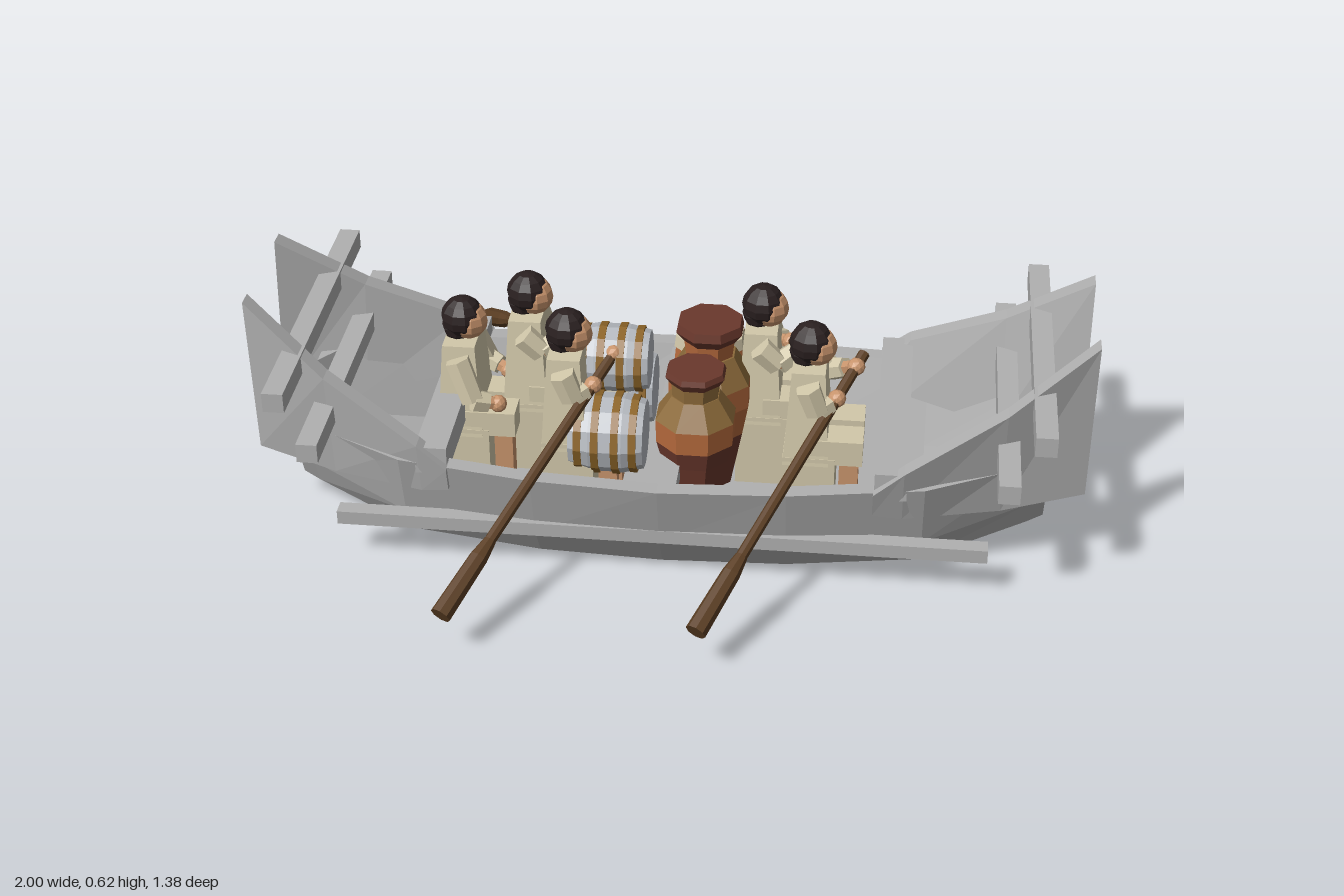
import * as THREE from 'three';

const mat = (name, color) => {
  const m = new THREE.MeshStandardMaterial({ color, flatShading: true });
  m.name = name;
  return m;
};
const timber = mat('grey timber', 0xb0b0b0), oarWood = mat('oar wood', 0x5c3f24);
const robe = mat('cream cloth', 0xd2c8aa), skin = mat('skin', 0xc8946c), hair = mat('hair', 0x2a2020);
const cask = mat('pale cask', 0xb6bac0), band = mat('cask band', 0x8c6428);
const maroon = mat('dark clay', 0x6a382c), orange = mat('orange clay', 0xb4693c), olive = mat('ochre clay', 0x8c6a3a);

const V = (x, y, z) => new THREE.Vector3(x, y, z);

function add(parent, name, geo, material, x = 0, y = 0, z = 0) {
  const m = new THREE.Mesh(geo, material);
  m.name = name;
  m.position.set(x, y, z);
  parent.add(m);
  return m;
}

// Box given by its limits
function block(parent, name, material, x0, x1, y0, y1, z0, z1) {
  return add(parent, name, new THREE.BoxGeometry(x1 - x0, y1 - y0, z1 - z0), material,
    (x0 + x1) / 2, (y0 + y1) / 2, (z0 + z1) / 2);
}

// Round bar from a to b
function limb(parent, name, material, a, b, ra, rb = ra, sides = 6) {
  const d = b.clone().sub(a), c = a.clone().add(b).multiplyScalar(0.5);
  const m = add(parent, name, new THREE.CylinderGeometry(rb, ra, d.length(), sides), material, c.x, c.y, c.z);
  m.quaternion.setFromUnitVectors(V(0, 1, 0), d.normalize());
  return m;
}

// Skin a row of equal-sized rings and cap both ends
function loft(rings) {
  const p = [], n = rings[0].length;
  const tri = (...v) => v.forEach(q => p.push(q.x, q.y, q.z));
  for (let i = 0; i < rings.length - 1; i++) for (let j = 0; j < n; j++) {
    const k = (j + 1) % n, a = rings[i], b = rings[i + 1];
    tri(a[j], a[k], b[j]);
    tri(a[k], b[k], b[j]);
  }
  const s = rings[0], e = rings[rings.length - 1];
  for (let j = 1; j < n - 1; j++) {
    tri(s[0], s[j + 1], s[j]);
    tri(e[0], e[j], e[j + 1]);
  }
  const g = new THREE.BufferGeometry();
  g.setAttribute('position', new THREE.Float32BufferAttribute(p, 3));
  g.computeVertexNormals();
  return g;
}

function buildHull(boat) {
  // x, bottom y, bottom z, chine y, chine z, gunwale y, gunwale z, floor y, floor z
  const half = [
    [0, 0, 0.245, 0.1, 0.312, 0.275, 0.365, 0.08, 0.25],
    [0.3, 0.003, 0.235, 0.1, 0.3, 0.278, 0.35, 0.08, 0.24],
    [0.62, 0.014, 0.195, 0.11, 0.262, 0.29, 0.312, 0.085, 0.2],
    [0.87, 0.087, 0.115, 0.162, 0.15, 0.3, 0.195, 0.15, 0.1],
    [0.91, 0.1, 0.1, 0.17, 0.133, 0.3, 0.172, 0.3, 0.1],
  ];
  const stations = [...half.slice(1).reverse().map(([x, ...r]) => [-x, ...r]), ...half];
  const rings = stations.map(([x, by, bz, cy, cz, gy, gz, fy, fz]) => {
    const side = [[gy, gz], [cy, cz], [by, bz]], inner = [[fy, fz], [gy, gz - 0.042]];
    return [
      ...side.map(([y, z]) => V(x, y, z)),
      ...side.reverse().map(([y, z]) => V(x, y, -z)),
      ...inner.slice().reverse().map(([y, z]) => V(x, y, -z)),
      ...inner.map(([y, z]) => V(x, y, z)),
    ];
  });
  add(boat, 'hull', loft(rings), timber);

  // Upswept end planks: x, top y, top z, bottom y, bottom z
  const sweep = [
    [0.5, 0.285, 0.338, 0.22, 0.322],
    [0.57, 0.342, 0.33, 0.2, 0.3],
    [0.8, 0.465, 0.252, 0.18, 0.212],
    [1, 0.615, 0.175, 0.2, 0.15],
  ];
  for (const sx of [-1, 1]) for (const sz of [-1, 1]) {
    const planks = sweep.map(([x, ty, tz, by, bz]) => {
      const ring = [[ty, tz], [by, bz], [by, bz - 0.052], [ty, tz - 0.045]].map(([y, z]) => V(sx * x, y, sz * z));
      return sx * sz < 0 ? ring.reverse() : ring;
    });
    add(boat, 'endPlank', loft(planks), timber);
  }

  // Rubbing rails, end crossbars and thwarts
  for (const s of [-1, 1]) {
    block(boat, 'sideRail', timber, -0.775, 0.775, 0.105, 0.14, s * 0.305 - 0.02, s * 0.305 + 0.02);
    block(boat, 'upperCrossbar', timber, s * 0.88 - 0.025, s * 0.88 + 0.025, 0.463, 0.512, -0.405, 0.405);
    block(boat, 'lowerCrossbar', timber, s * 0.807 - 0.025, s * 0.807 + 0.025, 0.34, 0.388, -0.42, 0.42);
    block(boat, 'endThwart', timber, s * 0.54 - 0.038, s * 0.54 + 0.038, 0.26, 0.33, -0.315, 0.315);
  }
  block(boat, 'middleThwart', timber, -0.035, 0.04, 0.22, 0.265, -0.325, 0.325);
}

// Seated figure facing +x; hands are given relative to its seat
function buildPerson(parent, x, z, drop, hands) {
  const g = new THREE.Group();
  g.name = 'person';
  g.position.set(x, -drop, z);
  const torso = new THREE.CylinderGeometry(0.056, 0.078, 0.24, 4).rotateY(Math.PI / 4).scale(1, 1, 1.65);
  add(g, 'torso', torso, robe, -0.01, 0.37, 0);
  block(g, 'skirt', robe, -0.065, 0.06, 0.08 + drop, 0.27, -0.09, 0.09);
  for (const s of [-1, 1]) {
    block(g, 'thigh', robe, 0, 0.125, 0.255, 0.32, s * 0.05 - 0.038, s * 0.05 + 0.038);
    block(g, 'shin', skin, 0.07, 0.115, 0.09 + drop, 0.255, s * 0.05 - 0.022, s * 0.05 + 0.022);
    const hand = hands[s < 0 ? 0 : 1], shoulder = V(-0.01, 0.465, s * 0.085);
    const elbow = shoulder.clone().lerp(hand, 0.5).add(V(-0.01, -0.04, s * 0.02));
    limb(g, 'sleeve', robe, shoulder, elbow, 0.032, 0.03);
    limb(g, 'cuff', robe, elbow, elbow.clone().lerp(hand, 0.6), 0.03, 0.026);
    limb(g, 'forearm', skin, elbow, hand, 0.017);
    add(g, 'hand', new THREE.IcosahedronGeometry(0.022, 1), skin, hand.x, hand.y, hand.z);
  }
  limb(g, 'neck', skin, V(0, 0.47, 0), V(0, 0.51, 0), 0.022);
  add(g, 'head', new THREE.SphereGeometry(0.047, 10, 8), skin, 0.006, 0.53, 0);
  add(g, 'hair', new THREE.SphereGeometry(0.052, 10, 8), hair, -0.009, 0.54, 0);
  add(g, 'backHair', new THREE.SphereGeometry(0.04, 8, 6), hair, -0.02, 0.515, 0);
  parent.add(g);
}

// Rower with an oar over the side s
function buildRower(parent, x, s) {
  const z = s * 0.085;
  const grip = V(x + 0.115, 0.475, s * 0.015), tip = V(x - 0.222, 0.118, s * 0.675);
  const at = t => grip.clone().lerp(tip, t);
  const seat = V(x, 0, z), hands = [at(0.05).sub(seat), at(0.17).sub(seat)];
  buildPerson(parent, x, z, 0, s < 0 ? hands.reverse() : hands);
  limb(parent, 'oarShaft', oarWood, grip, at(0.82), 0.014, 0.014, 8);
  limb(parent, 'oarCollar', oarWood, at(0.74), at(0.8), 0.015, 0.022, 8);
  limb(parent, 'oarBlade', oarWood, at(0.8), tip, 0.022, 0.025, 8);
}

// Cask lying along x
function buildCask(parent, y, z, r) {
  const g = new THREE.Group();
  g.name = 'cask';
  g.position.set(-0.145, y, z);
  g.rotation.z = -Math.PI / 2;
  const profile = [[0, -0.09], [0.84, -0.09], [0.97, -0.04], [0.97, 0.04], [0.84, 0.09], [0, 0.09]];
  add(g, 'caskBody', new THREE.LatheGeometry(profile.map(([a, b]) => new THREE.Vector2(a * r, b)), 12), cask);
  for (const [h, k] of [[-0.066, 0.95], [-0.024, 1.01], [0.024, 1.01], [0.066, 0.95]])
    add(g, 'caskBand', new THREE.CylinderGeometry(k * r, k * r, 0.018, 12), band, 0, h, 0);
  parent.add(g);
}

// Eight-sided vessel from stacked rings: y0, r0, y1, r1, material
function buildVessel(parent, name, x, z, rings) {
  const g = new THREE.Group();
  g.name = name;
  g.position.set(x, 0, z);
  for (const [y0, r0, y1, r1, m] of rings)
    add(g, name + 'Ring', new THREE.CylinderGeometry(r1, r0, y1 - y0, 8).rotateY(Math.PI / 8), m, 0, (y0 + y1) / 2, 0);
  parent.add(g);
}

export function createModel() {
  const boat = new THREE.Group();
  boat.name = 'rowingBoat';
  buildHull(boat);

  // Crew
  buildPerson(boat, -0.505, -0.01, 0.035, [V(0.085, 0.345, -0.08), V(0.085, 0.345, 0.08)]);
  for (const [x, s] of [[-0.235, 1], [0.345, 1], [-0.355, -1], [0.22, -1]]) buildRower(boat, x, s);

  // Cargo
  buildCask(boat, 0.27, 0.105, 0.1);
  buildCask(boat, 0.27, -0.11, 0.1);
  buildCask(boat, 0.415, -0.005, 0.085);
  buildVessel(boat, 'frontJar', 0.07, 0.145, [
    [0.09, 0.055, 0.25, 0.085, maroon], [0.25, 0.085, 0.3, 0.098, maroon], [0.3, 0.098, 0.36, 0.1, orange],
    [0.36, 0.1, 0.42, 0.06, olive], [0.42, 0.058, 0.455, 0.06, olive],
    [0.455, 0.062, 0.475, 0.075, maroon], [0.475, 0.075, 0.488, 0.07, maroon],
  ]);
  buildVessel(boat, 'tallJar', 0.09, 0, [
    [0.09, 0.06, 0.24, 0.09, maroon], [0.24, 0.09, 0.32, 0.105, orange], [0.32, 0.105, 0.38, 0.105, orange],
    [0.38, 0.105, 0.45, 0.065, olive], [0.45, 0.06, 0.49, 0.065, orange],
    [0.49, 0.066, 0.515, 0.085, maroon], [0.515, 0.085, 0.537, 0.08, maroon],
  ]);
  buildVessel(boat, 'drum', 0.075, -0.165, [
    [0.09, 0.065, 0.2, 0.08, maroon], [0.2, 0.08, 0.26, 0.092, orange], [0.26, 0.092, 0.3, 0.096, maroon],
    [0.3, 0.096, 0.38, 0.088, orange], [0.38, 0.092, 0.41, 0.088, robe],
  ]);
  return boat;
}
